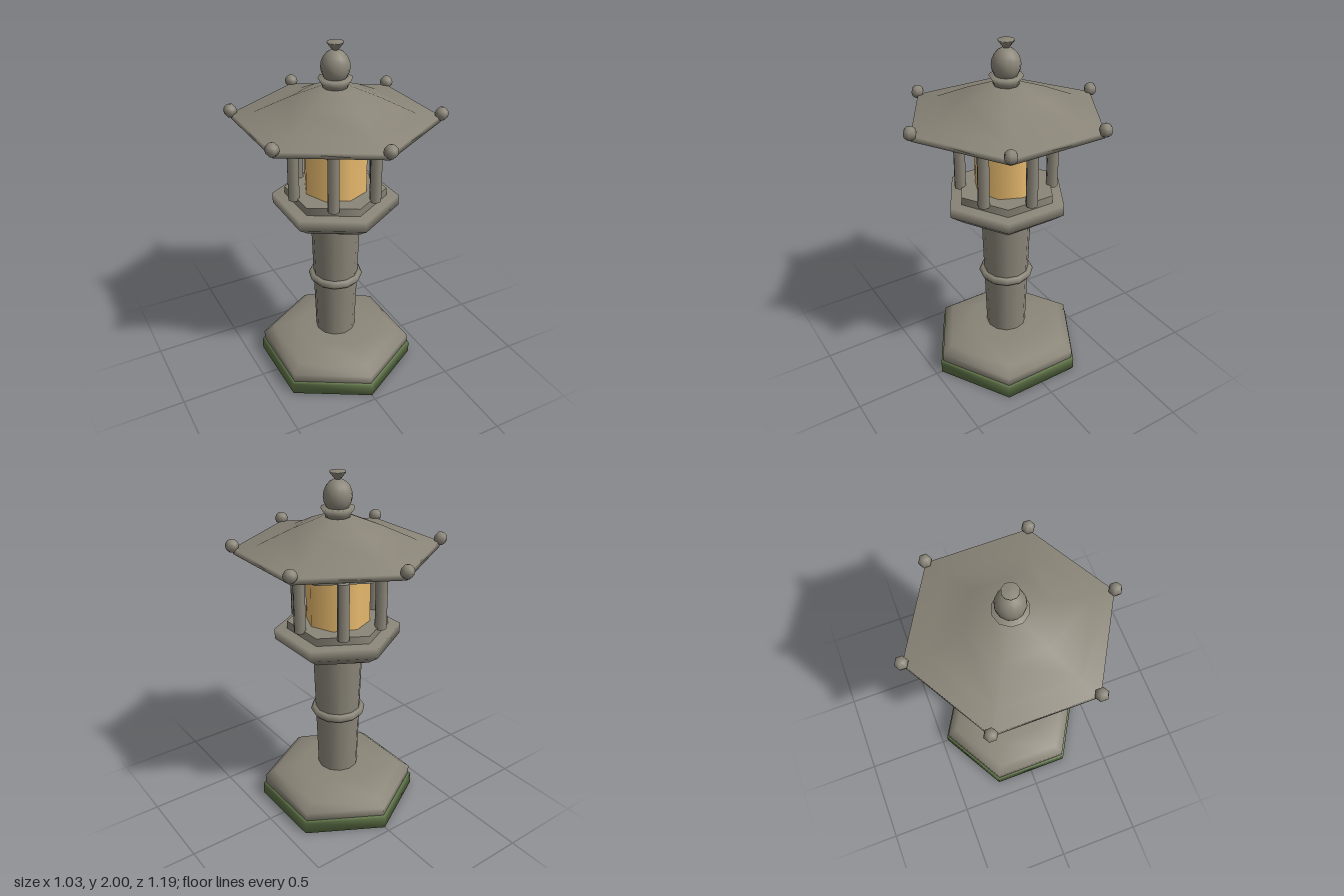
import * as THREE from 'three';

export function createModel() {
  const model = new THREE.Group();
  model.name = 'stoneLantern';

  const material = (name, color) => {
    const m = new THREE.MeshStandardMaterial({ color });
    m.name = name;
    return m;
  };
  const stone = material('stone', 0x8a8578);
  const moss = material('moss', 0x5f7348);
  const glow = material('lampGlow', 0xe8bb6e);

  const add = (name, geometry, mat, x = 0, y = 0, z = 0) => {
    const mesh = new THREE.Mesh(geometry, mat);
    mesh.name = name;
    mesh.position.set(x, y, z);
    model.add(mesh);
    return mesh;
  };
  // Profile of [radius, height] pairs, turned from the bottom upwards
  const lathe = (name, points, sides, mat) =>
    add(name, new THREE.LatheGeometry(points.map(([r, y]) => new THREE.Vector2(r, y)), sides), mat);
  // Prism or tapered column between two heights
  const column = (name, rTop, rBottom, y0, y1, sides, mat, x = 0, z = 0) =>
    add(name, new THREE.CylinderGeometry(rTop, rBottom, y1 - y0, sides), mat, x, (y0 + y1) / 2, z);

  // Hexagonal foot with a mossy band around it
  lathe('mossBand', [[0.4, 0], [0.465, 0], [0.465, 0.07], [0.455, 0.08], [0.44, 0.08]], 6, moss);
  lathe('base', [[0, 0], [0.4, 0], [0.45, 0.08], [0.45, 0.13], [0.39, 0.175], [0.235, 0.218], [0, 0.218]], 6, stone);

  // Post and its ring
  column('post', 0.142, 0.118, 0.2, 0.99, 12, stone);
  add('postRing', new THREE.TorusGeometry(0.135, 0.025, 6, 12), stone, 0, 0.6, 0).rotation.x = Math.PI / 2;

  // Platform under the light chamber
  lathe('platform', [[0, 0.975], [0.16, 0.975], [0.28, 1.015], [0.355, 1.07], [0.355, 1.13], [0, 1.13]], 6, stone);
  column('chamberFloor', 0.285, 0.285, 1.12, 1.175, 6, stone);

  // Light chamber
  column('lamp', 0.18, 0.18, 1.17, 1.485, 8, glow);
  for (let i = 0; i < 6; i++) {
    const a = (i * Math.PI) / 3;
    column('pillar', 0.033, 0.033, 1.163, 1.485, 8, stone, 0.255 * Math.cos(a), 0.255 * Math.sin(a));
  }
  column('chamberCeiling', 0.295, 0.295, 1.477, 1.515, 6, stone);

  // Roof with a knob on each corner
  lathe('roof', [[0, 1.575], [0.555, 1.575], [0.555, 1.605], [0.43, 1.617], [0.235, 1.705], [0.09, 1.76], [0, 1.76]], 6, stone);
  for (let i = 0; i < 6; i++) {
    const a = (i * Math.PI) / 3;
    const knob = add('cornerKnob', new THREE.SphereGeometry(0.037, 6, 6), stone, 0.557 * Math.sin(a), 1.62, 0.557 * Math.cos(a));
    knob.rotation.y = Math.PI / 6;
  }

  // Finial: collar, jewel and flared tip
  lathe('finialCollar', [[0, 1.75], [0.065, 1.75], [0.07, 1.775], [0.093, 1.81], [0, 1.81]], 10, stone);
  add('finialJewel', new THREE.SphereGeometry(0.078, 12, 10), stone, 0, 1.868, 0).scale.y = 1.15;
  lathe('finialTip', [[0, 1.945], [0.012, 1.95], [0.044, 1.99], [0.044, 1.996], [0, 2]], 10, stone);

  return model;
}
